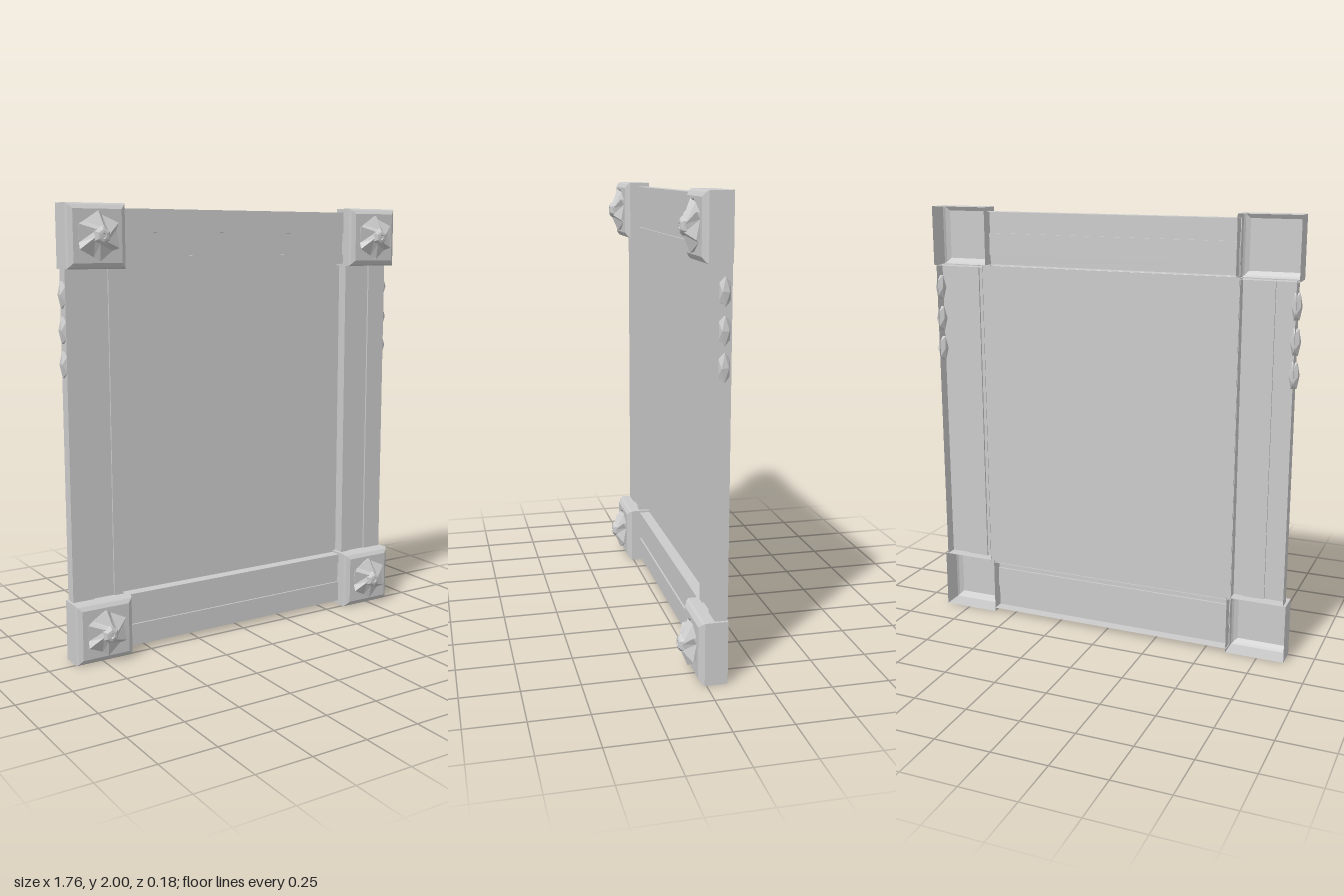
import * as THREE from 'three';

const material = new THREE.MeshStandardMaterial({ color: 0xcccccc, flatShading: true, side: THREE.DoubleSide });
const BACK = -0.09;

// Open-backed moulding running along y; profile points are [across, z], outer edge first
function rail(name, length, profile) {
  const geo = new THREE.PlaneGeometry(1, length, profile.length - 1, 1);
  const pos = geo.attributes.position;
  for (let i = 0; i < pos.count; i++) {
    const [across, z] = profile[i % profile.length];
    pos.setX(i, across);
    pos.setZ(i, z);
  }
  const mesh = new THREE.Mesh(geo.toNonIndexed(), material);
  mesh.geometry.computeVertexNormals();
  mesh.name = name;
  return mesh;
}

// Faceted shell turned around z; points are [radius, z]
function turned(name, sides, points) {
  const geo = new THREE.LatheGeometry(points.map(([r, z]) => new THREE.Vector2(r, z)), sides);
  geo.rotateX(Math.PI / 2);
  const mesh = new THREE.Mesh(geo, material);
  mesh.name = name;
  return mesh;
}

// Pinwheel of overlapping, tilted blades
function pinwheel(blades) {
  const verts = [];
  const step = (Math.PI * 2) / blades;
  const at = (r, a, z) => [r * Math.cos(a), r * Math.sin(a), z];
  for (let i = 0; i < blades; i++) {
    const a = i * step + 0.2;
    const hubA = at(0.034, a, 0.076), hubB = at(0.034, a + step, 0.076);
    const tip = at(0.105, a + 0.35, 0.046);
    const low = at(0.09, a + step + 0.1, 0.03);
    const foot = at(0.1, a + 0.35, 0.03);
    const nextTip = at(0.105, a + step + 0.35, 0.046);
    verts.push(...hubA, ...tip, ...low, ...hubA, ...low, ...hubB);
    verts.push(...hubB, ...low, ...nextTip);
    verts.push(...tip, ...foot, ...low);
  }
  const geo = new THREE.BufferGeometry();
  geo.setAttribute('position', new THREE.Float32BufferAttribute(verts, 3));
  geo.computeVertexNormals();
  const mesh = new THREE.Mesh(geo, material);
  mesh.name = 'rosetteBlades';
  return mesh;
}

// Hollow corner block with bevelled front and rosette
function cornerBlock() {
  const block = new THREE.Group();
  block.name = 'cornerBlock';
  const k = Math.SQRT2;
  const shell = turned('blockShell', 4, [
    [0.137 * k, BACK], [0.137 * k, 0.008], [0.13 * k, 0.018], [0.112 * k, 0.03], [0, 0.03],
  ]);
  shell.rotation.z = Math.PI / 4;
  const hub = turned('rosetteHub', 6, [
    [0.04, 0.068], [0.036, 0.08], [0.026, 0.088], [0.014, 0.09], [0.012, 0.082], [0, 0.082],
  ]);
  block.add(shell, pinwheel(6), hub);
  return block;
}

export function createModel() {
  const model = new THREE.Group();
  model.name = 'frame';

  // Back panel
  const panel = new THREE.Mesh(new THREE.PlaneGeometry(1.24, 1.47), material);
  panel.name = 'panel';
  panel.position.set(0, 1, -0.087);
  model.add(panel);

  // Moulding section, measured inwards from the outer edge
  const section = [
    [0, BACK], [0, -0.036], [0.1, -0.036], [0.1, -0.044],
    [0.2, -0.044], [0.2, -0.036], [0.245, -0.036], [0.245, BACK],
  ];

  for (const s of [-1, 1]) {
    // Side rails
    const side = rail('sideRail', 1.46, section);
    side.rotation.z = s > 0 ? Math.PI : 0;
    side.position.set(s * 0.863, 1, 0);
    model.add(side);

    // Top and bottom rails
    const cross = rail(s > 0 ? 'topRail' : 'bottomRail', 1.21, section);
    cross.rotation.z = s > 0 ? -Math.PI / 2 : Math.PI / 2;
    cross.position.set(0, 1 + s * 0.981, 0);
    model.add(cross);

    // Corner blocks
    for (const t of [-1, 1]) {
      const block = cornerBlock();
      block.position.set(s * 0.738, 1 + t * 0.863, 0);
      model.add(block);
    }

    // Faceted studs on the outer edges
    for (const y of [1.325, 1.47, 1.62]) {
      const stud = new THREE.Mesh(new THREE.IcosahedronGeometry(1, 0), material);
      stud.name = 'edgeStud';
      stud.scale.set(0.024, 0.068, 0.028);
      stud.position.set(s * 0.861, y, -0.06);
      model.add(stud);
    }
  }
  return model;
}
